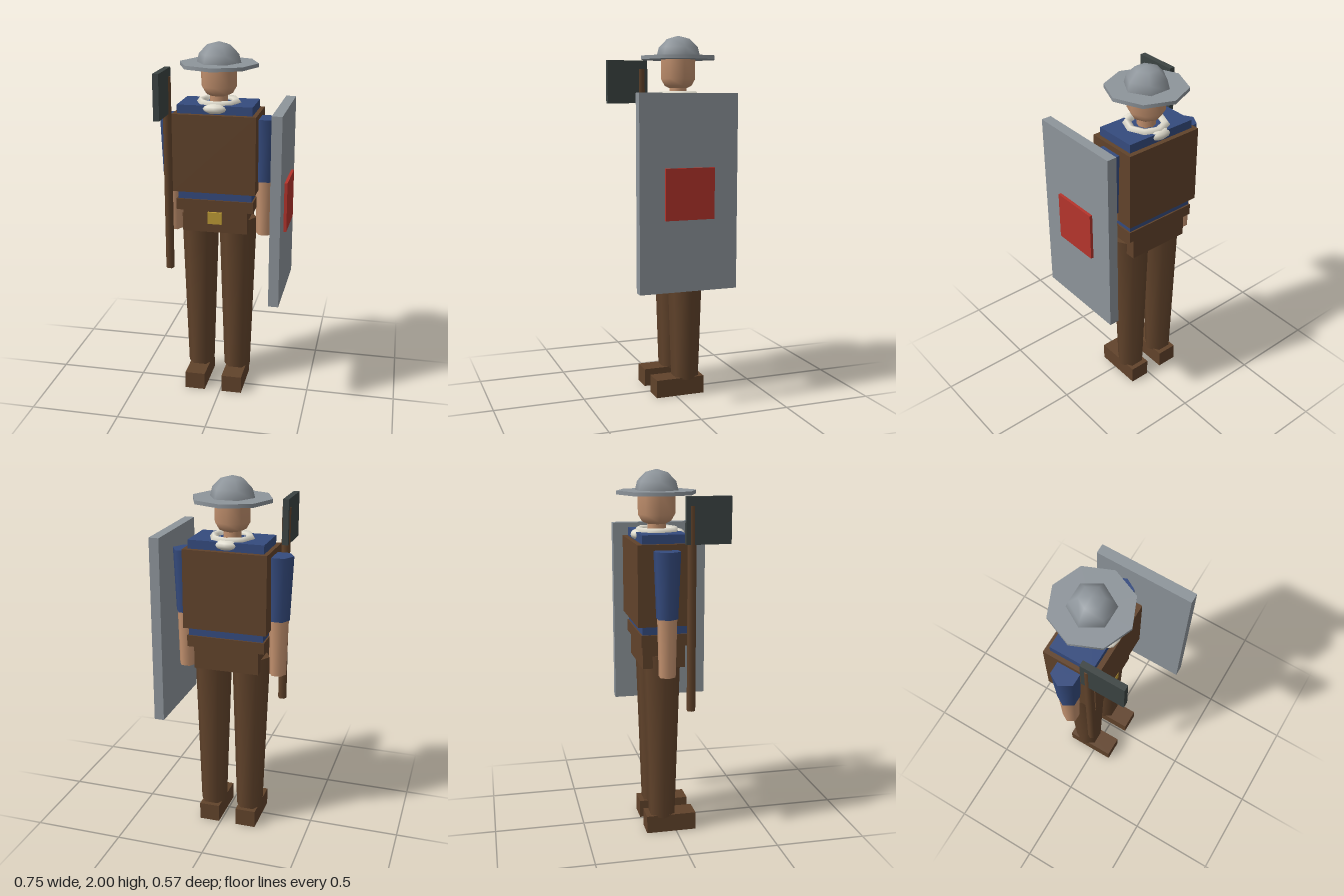
import * as THREE from 'three';

const CX = -0.04, CZ = -0.073; // body axis

function paint(name, color) {
  const m = new THREE.MeshStandardMaterial({ color });
  m.name = name;
  return m;
}

export function createModel() {
  const group = new THREE.Group();
  const leather = paint('brown leather', 0x61432b);
  const cloth = paint('blue cloth', 0x354b7e);
  const skin = paint('skin', 0xc4926f);
  const steel = paint('grey steel', 0x8e959b);
  const iron = paint('dark iron', 0x3c4443);
  const red = paint('red', 0xb5342c);
  const linen = paint('linen', 0xe2ded0);
  const brass = paint('brass', 0xbc9a35);

  const add = (name, geo, mat, x = 0, y = 0, z = 0) => {
    const mesh = new THREE.Mesh(geo, mat);
    mesh.name = name;
    mesh.position.set(x, y, z);
    group.add(mesh);
    return mesh;
  };
  // box from its extents on each axis
  const box = (name, mat, x0, x1, y0, y1, z0, z1) =>
    add(name, new THREE.BoxGeometry(x1 - x0, y1 - y0, z1 - z0), mat,
      (x0 + x1) / 2, (y0 + y1) / 2, (z0 + z1) / 2);
  // smooth six-sided limb with corners on the x axis
  const limb = (name, mat, rTop, rBottom, y0, y1, x, z = CZ) =>
    add(name, new THREE.CylinderGeometry(rTop, rBottom, y1 - y0, 6, 1, false, Math.PI / 2), mat,
      x, (y0 + y1) / 2, z);
  // box centred on the body axis
  const bodyBox = (name, mat, hx, hz, y0, y1) =>
    box(name, mat, CX - hx, CX + hx, y0, y1, CZ - hz, CZ + hz);

  // Limbs
  for (const [side, s] of [['left', 1], ['right', -1]]) {
    const foot = CX + s * 0.108;
    box(side + 'Boot', leather, foot - 0.058, foot + 0.058, 0, 0.1, -0.167, 0.112);
    limb(side + 'Leg', leather, 0.108, 0.077, 0.09, 1.03, foot);
    const arm = CX + s * 0.26;
    limb(side + 'Sleeve', cloth, 0.075, 0.06, 1.25, 1.6, arm);
    limb(side + 'Forearm', skin, 0.055, 0.047, 0.937, 1.25, arm);
  }

  // Torso
  bodyBox('hips', leather, 0.18, 0.115, 0.963, 1.09);
  bodyBox('belt', leather, 0.2145, 0.128, 1.09, 1.153);
  bodyBox('tunic', cloth, 0.206, 0.12, 1.15, 1.677);
  bodyBox('jerkin', leather, 0.229, 0.147, 1.2, 1.63);
  box('buckle', brass, CX - 0.04, CX + 0.04, 1.015, 1.082, 0.03, 0.056);

  // Neckerchief
  const ring = new THREE.TorusGeometry(0.1, 0.025, 5, 8);
  ring.rotateX(Math.PI / 2);
  add('neckerchief', ring, linen, CX, 1.675, CZ);
  for (const [name, z] of [['frontKnot', 0.045], ['backKnot', -0.18]]) {
    const knot = add(name, new THREE.SphereGeometry(1, 8, 6), linen, CX, 1.66, z);
    knot.scale.set(0.065, 0.027, 0.035);
  }

  // Head
  add('neck', new THREE.CylinderGeometry(0.05, 0.05, 0.1, 8), skin, CX, 1.69, CZ);
  const profile = [[0, 1.705], [0.035, 1.708], [0.076, 1.727], [0.098, 1.765], [0.098, 1.88]]
    .map(([r, y]) => new THREE.Vector2(r, y));
  add('head', new THREE.LatheGeometry(profile, 8), skin, CX, 0, CZ).scale.z = 1.04;

  // Brimmed helmet
  add('helmetBrim', new THREE.CylinderGeometry(0.216, 0.216, 0.02, 8), steel, CX, 1.88, CZ);
  add('helmetDome', new THREE.SphereGeometry(0.126, 6, 3, 0, Math.PI * 2, 0, Math.PI / 2),
    steel, CX, 1.874, CZ);

  // Shield
  box('shield', steel, 0.302, 0.357, 0.653, 1.688, -0.256, 0.286);
  box('shieldPlate', red, 0.357, 0.373, 1.035, 1.305, -0.121, 0.15);

  // Axe
  limb('axeHandle', leather, 0.024, 0.024, 0.74, 1.826, -0.297, 0.058);
  box('axeBlade', iron, -0.315, -0.283, 1.63, 1.873, 0.025, 0.263);

  return group;
}
